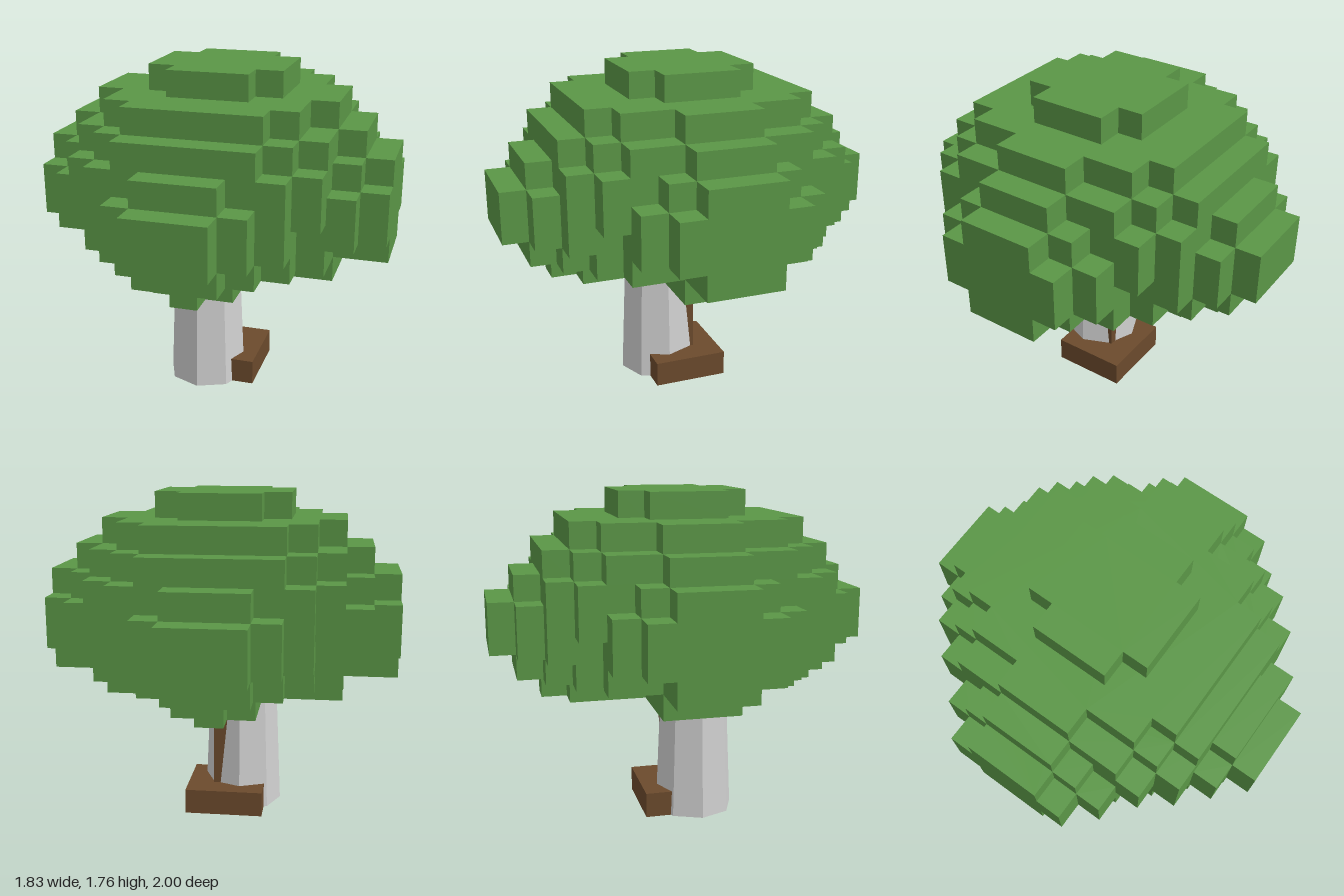
import * as THREE from 'three';

// Size of one block of the tree
const CX = 0.1408, CY = 0.1352, CZ = 0.13333;
const CROWN_BASE = 0.68;

// Crown layers, bottom to top: how many blocks each row reaches
// sideways from the middle, for rows 0, 1, 2... away from the centre
const LAYERS = [
  [4, 4, 1, 1, 1, 0],
  [6, 6, 4, 4, 3, 2, 1],
  [6, 6, 6, 5, 3, 3, 2, 1],
  [6, 6, 6, 5, 4, 3, 2, 1],
  [6, 6, 5, 4, 4, 3, 1],
  [5, 5, 4, 4, 3, 2],
  [4, 4, 3, 3, 2],
  [2, 2, 1],
];

// Stepped outline of one layer, mirrored both ways, as a flat slab
function slab(reach) {
  const side = [];
  const last = reach.length - 1;
  for (let k = -last; k <= last; k++) {
    const x = (reach[Math.abs(k)] + 0.5) * CX;
    const previous = side[side.length - 1];
    if (previous && previous.x === x) side.pop();
    else side.push(new THREE.Vector2(x, (k - 0.5) * CZ));
    side.push(new THREE.Vector2(x, (k + 0.5) * CZ));
  }
  const mirrored = side.map((p) => new THREE.Vector2(-p.x, p.y)).reverse();
  const geometry = new THREE.ExtrudeGeometry(new THREE.Shape([...side, ...mirrored]), {
    depth: CY,
    bevelEnabled: false,
  });
  return geometry.rotateX(-Math.PI / 2);
}

function addMesh(parent, name, geometry, material, x, y, z) {
  const mesh = new THREE.Mesh(geometry, material);
  mesh.name = name;
  mesh.position.set(x, y, z);
  parent.add(mesh);
  return mesh;
}

export function createModel() {
  const leafGreen = new THREE.MeshStandardMaterial({ color: 0x5a9646, flatShading: true });
  leafGreen.name = 'leafGreen';
  const barkBrown = new THREE.MeshStandardMaterial({ color: 0x6b4a2c, flatShading: true });
  barkBrown.name = 'barkBrown';
  const paleGrey = new THREE.MeshStandardMaterial({ color: 0xd0d0d0, flatShading: true });
  paleGrey.name = 'paleGrey';

  const tree = new THREE.Group();
  tree.name = 'tree';

  // Blocky crown
  const crown = new THREE.Group();
  crown.name = 'crown';
  tree.add(crown);
  LAYERS.forEach((reach, i) => {
    addMesh(crown, `crownLayer${i + 1}`, slab(reach), leafGreen, 0, CROWN_BASE + i * CY, 0);
  });

  // Trunk post and its square foot
  const trunkHeight = CROWN_BASE - CY;
  addMesh(tree, 'trunk', new THREE.BoxGeometry(CX, trunkHeight, CZ), barkBrown,
    0, CY + trunkHeight / 2, 0);
  addMesh(tree, 'trunkFoot', new THREE.BoxGeometry(3 * CX, CY, 3 * CZ), barkBrown,
    0, CY / 2, 0);

  // Eight-sided tapered sleeve, off-centre around the trunk
  addMesh(tree, 'trunkSleeve', new THREE.CylinderGeometry(0.189, 0.215, 0.615, 8), paleGrey,
    -0.078, 0.3075, 0.097);

  return tree;
}
